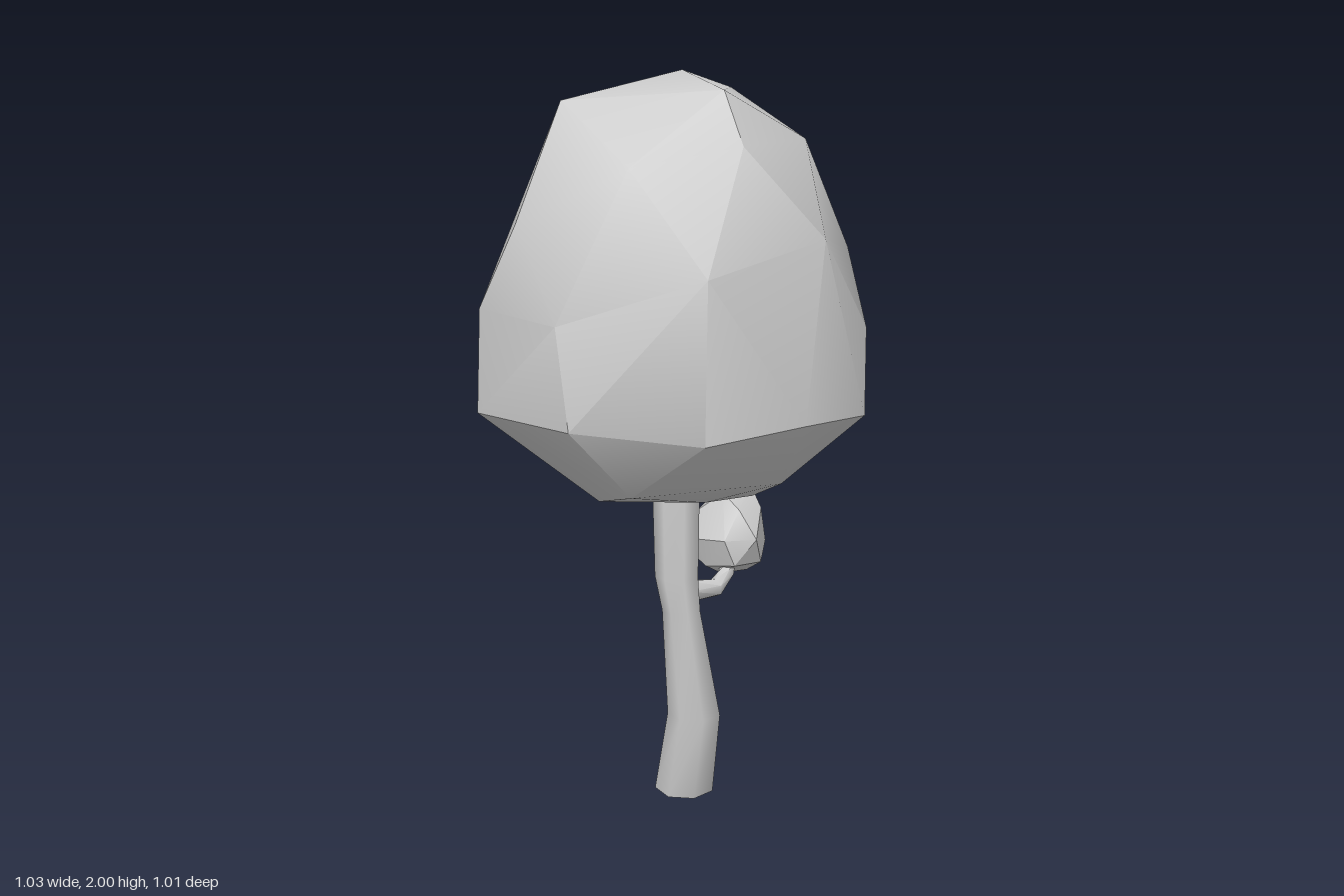
import * as THREE from 'three';
import { ConvexGeometry } from 'three/addons/geometries/ConvexGeometry.js';
import { toCreasedNormals } from 'three/addons/utils/BufferGeometryUtils.js';

const material = new THREE.MeshStandardMaterial({ color: 0xcccccc });

function part(name, geometry, crease) {
  const mesh = new THREE.Mesh(toCreasedNormals(geometry, crease), material);
  mesh.name = name;
  return mesh;
}

// Faceted clump of leaves: hull of [x, y, z] corners
function foliage(name, corners, crease) {
  return part(name, new ConvexGeometry(corners.map(c => new THREE.Vector3(...c))), crease);
}

// Tapered bent limb through [x, y, z, radius] stations
function limb(name, stations, sides, upright) {
  const up = new THREE.Vector3(0, 1, 0);
  const n = stations.length - 1;
  const centres = stations.map(s => new THREE.Vector3(s[0], s[1], s[2]));
  const turns = centres.map((c, i) => {
    const dir = centres[Math.min(i + 1, n)].clone().sub(centres[Math.max(i - 1, 0)]).normalize();
    return new THREE.Quaternion().setFromUnitVectors(up, upright ? up : dir);
  });
  const geometry = new THREE.CylinderGeometry(1, 1, 1, sides, n);
  const pos = geometry.attributes.position;
  const v = new THREE.Vector3();
  for (let i = 0; i < pos.count; i++) {
    v.fromBufferAttribute(pos, i);
    const k = Math.round((v.y + 0.5) * n);
    v.y = 0;
    v.multiplyScalar(stations[k][3]).applyQuaternion(turns[k]).add(centres[k]);
    pos.setXYZ(i, v.x, v.y, v.z);
  }
  return part(name, geometry, 1.0);
}

export function createModel() {
  const tree = new THREE.Group();
  tree.name = 'tree';

  // Trunk, kinked and flared under the crown
  tree.add(limb('trunk', [
    [0.035, 0, 0.04, 0.084], [0.045, 0.25, 0.095, 0.075], [0.012, 0.55, 0.08, 0.054],
    [0, 0.65, 0.075, 0.061], [0.012, 0.86, 0.035, 0.066], [0.015, 0.93, 0.03, 0.072],
  ], 7, true));

  // Side branch carrying the small clump
  tree.add(limb('branch', [
    [0.02, 0.6, 0.075, 0.034], [0.12, 0.592, 0.05, 0.026], [0.17, 0.615, 0, 0.022], [0.2, 0.67, -0.05, 0.02],
  ], 6, false));

  // Main crown, listed from the top down
  tree.add(foliage('crown', [
    [0.04, 2, -0.01], [0.2, 1.95, -0.08], [-0.3, 1.93, 0.04], [0.065, 1.96, 0.245], [-0.17, 1.88, -0.15],
    [0.315, 1.83, 0.17], [0.075, 1.83, 0.36], [-0.2, 1.78, 0.3], [0.1, 1.79, -0.25],
    [-0.44, 1.63, 0.11], [0.32, 1.57, -0.23], [0.095, 1.57, -0.355], [0.28, 1.6, 0.4],
    [0.485, 1.53, 0.07], [-0.065, 1.53, 0.505], [-0.3, 1.52, -0.31],
    [0.515, 1.32, 0.14], [0.43, 1.33, -0.17], [0.1, 1.3, -0.51], [-0.39, 1.4, 0.3], [-0.51, 1.4, -0.02],
    [0.51, 1.22, -0.11], [0.44, 1.12, 0.31], [0.2, 1.15, 0.49], [-0.07, 1.12, 0.505],
    [-0.37, 1.14, 0.34], [-0.52, 1.12, -0.03], [-0.34, 1.2, -0.39], [0.08, 1.04, -0.42],
    [0.36, 0.96, 0.05], [0.2, 0.96, 0.33], [-0.2, 0.95, 0.31], [0.32, 1.0, -0.23], [-0.25, 1.0, -0.32],
    [0.2, 0.87, 0.12], [0.05, 0.875, 0.16], [-0.22, 0.88, 0.08], [-0.14, 0.85, -0.1], [0.1, 0.89, -0.25],
  ], 0.6));

  // Small clump on the branch
  tree.add(foliage('smallCrown', [
    [0.2, 0.855, -0.09], [0.265, 0.85, -0.07], [0.17, 0.84, -0.03], [0.22, 0.84, -0.13],
    [0.11, 0.78, -0.08], [0.28, 0.79, -0.02], [0.2, 0.8, 0.02], [0.21, 0.785, -0.18], [0.29, 0.77, -0.13],
    [0.09, 0.71, -0.04], [0.15, 0.72, 0.04], [0.24, 0.72, 0.052], [0.31, 0.68, -0.06], [0.13, 0.72, -0.155],
    [0.09, 0.66, -0.09], [0.2, 0.67, -0.17], [0.28, 0.66, -0.13], [0.18, 0.645, 0.04], [0.27, 0.64, 0.01],
    [0.12, 0.63, -0.03], [0.18, 0.59, -0.07], [0.25, 0.6, -0.05], [0.19, 0.6, -0.11],
  ], 0.5));

  return tree;
}
